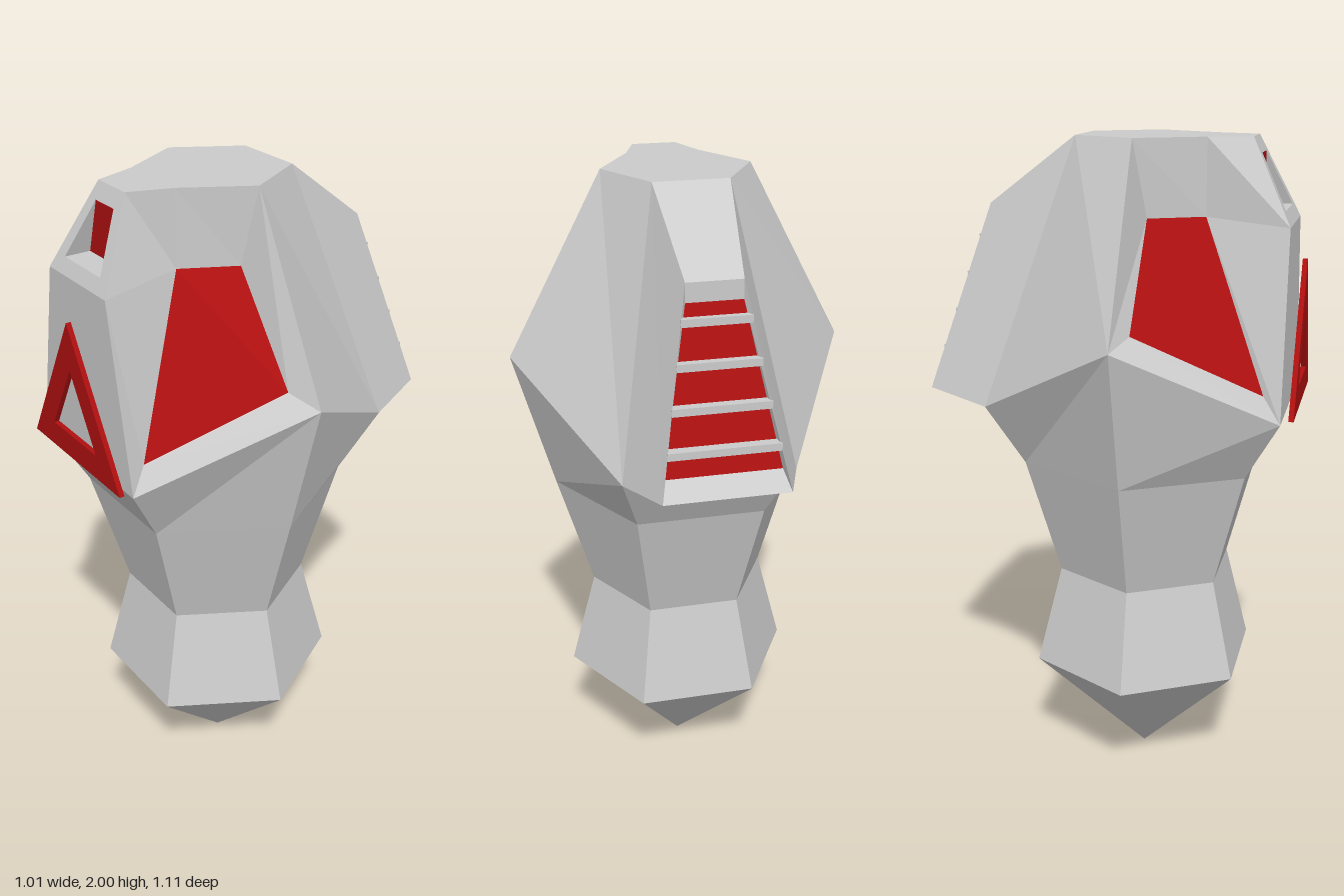
import * as THREE from 'three';

const grey = new THREE.MeshStandardMaterial({ color: 0xcccccc, side: THREE.DoubleSide });
const red = new THREE.MeshStandardMaterial({ color: 0xb01010, side: THREE.DoubleSide });
const AXIS_Z = 0.08; // depth of the body's vertical axis

const mirror = ([x, y, z]) => [-x, y, z];
// a polygon on the +x side together with its mirror image
const pair = (...p) => [p, p.map(mirror).reverse()];
// a face spanning both sides between two profile points
const span = (p, q) => [p, mirror(p), mirror(q), q];

// flat-shaded mesh from a list of convex polygons
function panels(name, faces, material = grey) {
  const pos = [];
  for (const f of faces)
    for (let i = 1; i < f.length - 1; i++) pos.push(...f[0], ...f[i], ...f[i + 1]);
  const geo = new THREE.BufferGeometry();
  geo.setAttribute('position', new THREE.Float32BufferAttribute(pos, 3));
  geo.computeVertexNormals();
  const mesh = new THREE.Mesh(geo, material);
  mesh.name = name;
  return mesh;
}

// hexagonal ring with corners on +x and -x, whose side corners may sit higher
function hexRing(r, y, sideY = y) {
  return Array.from({ length: 6 }, (_, i) => {
    const a = (i * Math.PI) / 3;
    return [r * Math.cos(a), i % 3 ? y : sideY, AXIS_Z + r * Math.sin(a)];
  });
}

export function createModel() {
  const group = new THREE.Group();

  // pointed base
  const tip = new THREE.Mesh(new THREE.ConeGeometry(0.36, 0.36, 6, 1, true, Math.PI / 2), grey);
  tip.name = 'pointedBase';
  tip.rotation.x = Math.PI;
  tip.position.set(0, 0.185, AXIS_Z);
  group.add(tip);

  // waisted lower body
  const rings = [hexRing(0.36, 0.365), hexRing(0.28, 0.67), hexRing(0.388, 1.035), hexRing(0.507, 1.22, 1.46)];
  const sides = [];
  for (let k = 0; k < 3; k++)
    for (let i = 0; i < 6; i++) {
      const j = (i + 1) % 6;
      sides.push([rings[k][j], rings[k][i], rings[k + 1][i], rings[k + 1][j]]);
    }
  group.add(panels('lowerBody', sides));

  // corner points of the head, +x side
  const side = rings[3][0], front = rings[3][1], back = rings[3][5];
  const [topSide, topFront, , , , topBack] = hexRing(0.22, 2);
  const ridgeTop = [0.067, 2, 0.395], ridgeBend = [0.15, 1.76, 0.515];
  const humpTop = [0.08, 1.8, -0.38], humpLow = [0.18, 1.25, -0.555];
  const grilleTop = [0.08, 1.745, -0.38], grilleLow = [0.165, 1.3, -0.505];
  // window corners
  const wA = [0.19, 1.78, 0.117], wB = [0.41, 1.49, 0.117], wC = [0.225, 1.295, 0.465], wD = [0.11, 1.78, 0.272];
  // front slot corners
  const sTop = [0.046, 1.955, 0.4175], sLow = [0.095, 1.8, 0.495], sIn = [0.095, 1.8, 0.4175];

  group.add(panels('headShell', [
    span(topBack, topSide), span(topSide, topFront),
    ...pair(topSide, side, back, topBack),
  ]));
  group.add(panels('windowFrames', [
    ...pair(topFront, wD, wA, topSide),
    ...pair(topSide, wA, wB, side),
    ...pair(side, wB, wC, front),
  ]));
  group.add(panels('sideWindows', pair(wD, wC, wB, wA), red));

  // raised front ridge with a wedge-shaped slot
  group.add(panels('frontRidge', [
    span(topFront, ridgeTop), span(ridgeTop, sTop), span(sLow, ridgeBend), span(ridgeBend, front),
    ...pair(ridgeTop, sTop, sLow, ridgeBend),
    ...pair(ridgeTop, ridgeBend, wD, topFront),
    ...pair(ridgeBend, front, wC, wD),
    span(sIn, sLow), ...pair(sTop, sIn, sLow),
  ]));
  group.add(panels('frontSlot', [span(sTop, sIn)], red));

  // rear hump with a recessed grille
  group.add(panels('rearHump', [
    span(back, humpLow), span(humpLow, grilleLow), span(grilleTop, humpTop), span(humpTop, topBack),
    ...pair(topBack, back, humpLow, humpTop),
    ...pair(humpTop, humpLow, grilleLow, grilleTop),
  ]));
  group.add(panels('grilleBack', [span(grilleLow, grilleTop)], red));

  // slats reaching from the grille out to the hump's edge line
  const at = (p, q, y) => new THREE.Vector3(...p).lerp(new THREE.Vector3(...q), (p[1] - y) / (p[1] - q[1]));
  for (let i = 0; i < 4; i++) {
    const y = 1.7 - i * 0.11;
    const outer = at(humpTop, humpLow, y), inner = at(grilleTop, grilleLow, y);
    const slat = new THREE.Mesh(new THREE.BoxGeometry(outer.x * 2, 0.022, inner.z - outer.z), grey);
    slat.name = 'grilleSlat' + (i + 1);
    slat.position.set(0, y, (inner.z + outer.z) / 2);
    group.add(slat);
  }

  // triangular frame floating in front of the ridge
  const triangle = (Type, top, half, low) =>
    new Type([[0, top], [-half, low], [half, low]].map(([x, y]) => new THREE.Vector2(x, y)));
  const shape = triangle(THREE.Shape, 1.655, 0.243, 1.23);
  shape.holes.push(triangle(THREE.Path, 1.515, 0.12, 1.305));
  const frame = new THREE.Mesh(new THREE.ExtrudeGeometry(shape, { depth: 0.015, bevelEnabled: false }), red);
  frame.name = 'triangleFrame';
  frame.position.z = 0.54;
  group.add(frame);

  return group;
}
